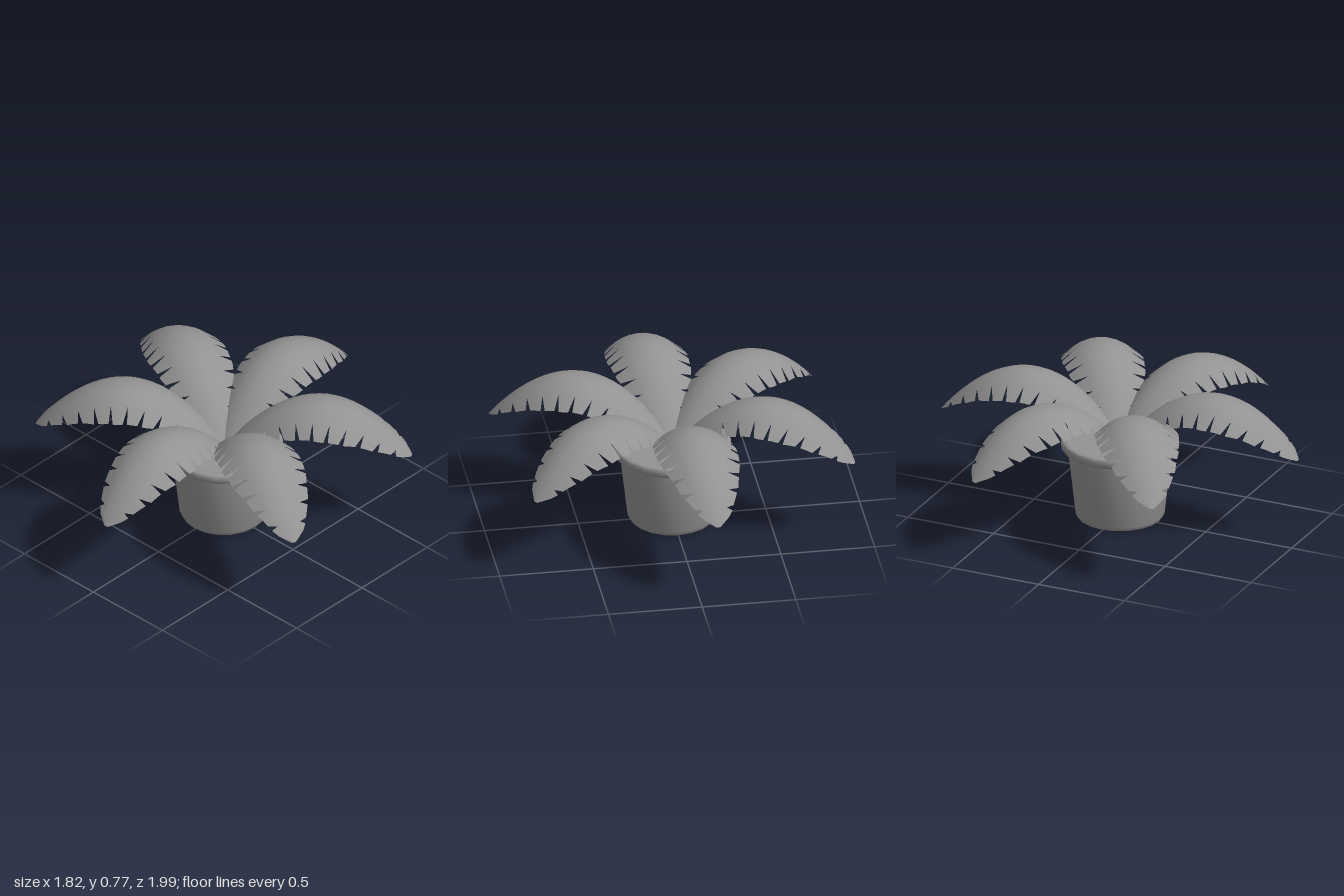
import * as THREE from 'three';
import { toCreasedNormals } from 'three/addons/utils/BufferGeometryUtils.js';

const potGrey = new THREE.MeshStandardMaterial({ color: 0x939393 });
const leafGrey = new THREE.MeshStandardMaterial({ color: 0x939393, side: THREE.DoubleSide });

// Half-width of a leaf at horizontal distance r from the plant's axis
const WIDTHS = [[0, 0.03], [0.1, 0.1], [0.2, 0.16], [0.35, 0.203], [0.55, 0.217],
  [0.7, 0.203], [0.85, 0.155], [0.95, 0.09], [0.98, 0.055], [1, 0.012]];
function halfWidth(r) {
  let i = 1;
  while (i < WIDTHS.length - 1 && r > WIDTHS[i][0]) i++;
  const [r0, w0] = WIDTHS[i - 1], [r1, w1] = WIDTHS[i];
  return THREE.MathUtils.lerp(w0, w1, Math.min(1, (r - r0) / (r1 - r0)));
}

// Arching leaf along +z: a curved central blade with a row of teeth on each edge
function leafGeometry() {
  const spine = new THREE.QuadraticBezierCurve3(
    new THREE.Vector3(0, 0.42, 0), new THREE.Vector3(0, 1.085, 0.5), new THREE.Vector3(0, 0.47, 1));
  const TEETH = 12, ROWS = 2 * TEETH, COLS = 6, INNER = 0.64;
  const pos = [], index = [];

  // s runs across the blade from -1 to 1; the sides droop along the spine's normal
  function addPoint(t, s) {
    const p = spine.getPointAt(t), d = spine.getTangentAt(t);
    const x = s * halfWidth(p.z), drop = 2.3 * x * x;
    pos.push(x, p.y - d.z * drop, p.z + d.y * drop);
    return pos.length / 3 - 1;
  }

  // Central blade, two rows of faces per tooth
  const rows = [];
  for (let i = 0; i <= ROWS; i++) {
    const row = [];
    for (let j = 0; j <= COLS; j++) row.push(addPoint(i / ROWS, INNER * (2 * j / COLS - 1)));
    rows.push(row);
  }
  for (let i = 0; i < ROWS; i++) {
    const a = rows[i], b = rows[i + 1];
    for (let j = 0; j < COLS; j++) index.push(a[j], b[j], a[j + 1], b[j], b[j + 1], a[j + 1]);
  }

  // Teeth, narrower at the outer edge so V notches stay open between them
  for (let i = 0; i < TEETH; i++) {
    const [a, m, b] = rows.slice(2 * i, 2 * i + 3);
    const ts = [i + 0.16, i + 0.5, i + (i === TEETH - 1 ? 1 : 0.86)].map((t) => t / TEETH);
    const l = ts.map((t) => addPoint(t, -1)), r = ts.map((t) => addPoint(t, 1));
    [a, m].forEach((p, k) => {
      const q = k ? b : m;
      index.push(l[k], l[k + 1], p[0], l[k + 1], q[0], p[0]);
      index.push(p[COLS], q[COLS], r[k], q[COLS], r[k + 1], r[k]);
    });
  }
  const g = new THREE.BufferGeometry();
  g.setAttribute('position', new THREE.Float32BufferAttribute(pos, 3));
  g.setIndex(index);
  g.computeVertexNormals();
  return g;
}

export function createModel() {
  const group = new THREE.Group();

  // Tapered pot with rounded foot and a thick rolled rim
  const profile = [[0, 0], [0.205, 0], [0.227, 0.008], [0.237, 0.03], [0.278, 0.395],
    [0.303, 0.395], [0.313, 0.405], [0.315, 0.425], [0.313, 0.442], [0.303, 0.45],
    [0.272, 0.45], [0.262, 0.442], [0.258, 0.42]].map(([x, y]) => new THREE.Vector2(x, y));
  const pot = new THREE.Mesh(toCreasedNormals(new THREE.LatheGeometry(profile, 20), 0.8), potGrey);
  pot.name = 'pot';
  group.add(pot);

  // Soil surface
  const soil = new THREE.Mesh(new THREE.CircleGeometry(0.262, 20), potGrey);
  soil.name = 'soil';
  soil.rotation.x = -Math.PI / 2;
  soil.position.y = 0.432;
  group.add(soil);

  // Six leaves around the centre
  const geometry = leafGeometry();
  for (let i = 0; i < 6; i++) {
    const leaf = new THREE.Mesh(geometry, leafGrey);
    leaf.name = 'leaf' + (i + 1);
    leaf.rotation.y = THREE.MathUtils.degToRad(5 + 60 * i);
    group.add(leaf);
  }
  return group;
}
